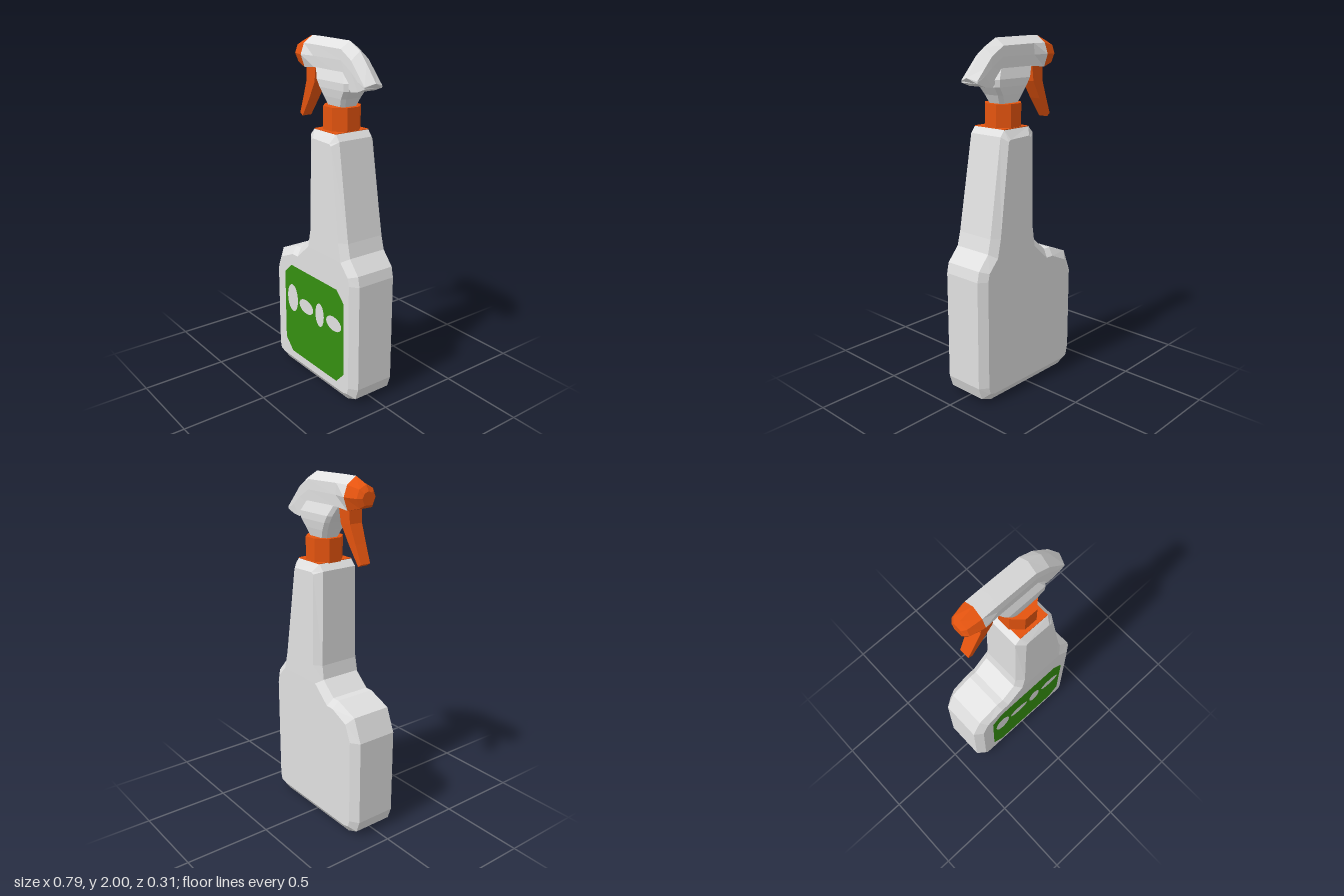
import * as THREE from 'three';

const mat = (name, color) => Object.assign(new THREE.MeshStandardMaterial({ color, flatShading: true }), { name });

// Skin rings of [x, y, z] points (counter-clockwise seen from the + axis) and cap both ends
function loft(rings, axis) {
  const pos = [], n = rings[0].length;
  const tri = (...p) => p.forEach(v => pos.push(...v));
  for (let i = 0; i < rings.length - 1; i++) {
    for (let j = 0; j < n; j++) {
      const k = (j + 1) % n, a = rings[i], b = rings[i + 1];
      tri(a[j], a[k], b[k]);
      tri(a[j], b[k], b[j]);
    }
  }
  const u = (axis + 1) % 3, v = (axis + 2) % 3;
  [rings[0], rings[rings.length - 1]].forEach((ring, end) => {
    const flat = ring.map(p => new THREE.Vector2(p[u], p[v]));
    for (const [a, b, c] of THREE.ShapeUtils.triangulateShape(flat, [])) {
      if (end) tri(ring[a], ring[b], ring[c]);
      else tri(ring[a], ring[c], ring[b]);
    }
  });
  const g = new THREE.BufferGeometry();
  g.setAttribute('position', new THREE.Float32BufferAttribute(pos, 3));
  g.computeVertexNormals();
  return g;
}

export function createModel() {
  const model = new THREE.Group();
  model.name = 'sprayBottle';
  const white = mat('white plastic', 0xe0e0e0);
  const orange = mat('orange plastic', 0xe5540f);
  const green = mat('green label', 0x358f10);
  const add = (name, geometry, material, x = 0, y = 0, z = 0) => {
    const m = new THREE.Mesh(geometry, material);
    m.name = name;
    m.position.set(x, y, z);
    model.add(m);
    return m;
  };

  // Bottle: outer silhouette x, y paired with the bevelled face outline x, y
  const outline = [
    [-0.30, 0, -0.30, 0.05], [0.30, 0, 0.30, 0.05], [0.37, 0.03, 0.335, 0.06], [0.393, 0.1, 0.345, 0.1],
    [0.393, 0.73, 0.345, 0.73], [0.38, 0.79, 0.335, 0.775], [0.31, 0.87, 0.27, 0.845], [0.29, 0.95, 0.245, 0.95],
    [0.20, 1.49, 0.17, 1.465], [0.172, 1.525, 0.155, 1.475], [-0.02, 1.525, 0.01, 1.48], [-0.053, 1.49, -0.005, 1.47],
    [-0.053, 0.95, -0.01, 0.95], [-0.065, 0.87, -0.03, 0.845], [-0.155, 0.79, -0.14, 0.747], [-0.2, 0.79, -0.19, 0.747],
    [-0.34, 0.735, -0.305, 0.695], [-0.395, 0.6, -0.345, 0.6], [-0.395, 0.1, -0.345, 0.1], [-0.37, 0.03, -0.335, 0.06],
  ];
  const bottleRing = (inner, z) => outline.map(p => {
    const x = p[inner ? 2 : 0], y = p[inner ? 3 : 1];
    const taper = 1 - 0.08 * Math.max(0, (y - 0.85) / 0.65); // neck gets slightly thinner
    return [x, y, z * taper - 0.004];
  });
  add('bottle', loft([bottleRing(true, -0.154), bottleRing(false, -0.119),
    bottleRing(false, 0.119), bottleRing(true, 0.154)], 2), white);

  // Label with cut-out ovals
  const label = new THREE.Shape([[-0.27, 0.17], [-0.2, 0.1], [0.24, 0.1], [0.305, 0.17],
    [0.305, 0.61], [0.24, 0.675], [-0.2, 0.675], [-0.27, 0.61]].map(p => new THREE.Vector2(...p)));
  for (const [x, y, rx, ry] of [[-0.192, 0.463, 0.053, 0.088], [-0.053, 0.455, 0.07, 0.044],
    [0.08, 0.455, 0.041, 0.074], [0.213, 0.455, 0.07, 0.044]]) {
    label.holes.push(new THREE.Path().absellipse(x, y, rx, ry, 0, Math.PI * 2, true));
  }
  add('label', new THREE.ShapeGeometry(label, 10), green, 0, 0, 0.153);

  // Neck plate and octagonal collar
  add('neckPlate', new THREE.BoxGeometry(0.192, 0.006, 0.22), orange, 0.076, 1.525, -0.004);
  const collar = new THREE.CylinderGeometry(0.105, 0.105, 0.133, 8);
  collar.rotateY(Math.PI / 8);
  add('collar', collar, orange, 0.072, 1.588, -0.011);

  // Spray head: ridge, shoulder, side and underside at each station along x
  const section = ([x, top, ys, zs, ym, zm, yl, zl, xr = x]) => [
    [xr, top, 0], [x, ys, zs], [x, ym, zm], [x, yl, zl], [x, yl, -zl], [x, ym, -zm], [x, ys, -zs]];
  const joint = [-0.2, 2.0, 1.96, 0.058, 1.9, 0.08, 1.83, 0.055];
  const nozzle = [
    [-0.3, 1.935, 1.925, 0.025, 1.9, 0.04, 1.865, 0.025],
    [-0.28, 1.967, 1.945, 0.045, 1.9, 0.062, 1.85, 0.04],
    joint];
  const head = [
    joint,
    [-0.11, 2.0, 1.96, 0.058, 1.9, 0.061, 1.84, 0.058],
    [0.13, 1.995, 1.955, 0.058, 1.9, 0.06, 1.82, 0.058],
    [0.215, 1.95, 1.905, 0.058, 1.85, 0.06, 1.745, 0.058],
    [0.27, 1.89, 1.845, 0.058, 1.805, 0.06, 1.752, 0.058],
    [0.325, 1.8, 1.785, 0.058, 1.78, 0.059, 1.772, 0.058, 0.345]];
  add('nozzle', loft(nozzle.map(section), 0), orange, 0, 0, -0.014);
  add('sprayHead', loft(head.map(section), 0), white, 0, 0, -0.014);

  // Pump stem: chamfered rectangles at each height
  const stem = [
    [1.65, 0.0, 0.14, 0.055], [1.7, -0.025, 0.165, 0.068], [1.745, -0.052, 0.198, 0.076],
    [1.785, -0.077, 0.2, 0.077], [1.845, -0.11, 0.165, 0.057],
  ].map(([y, x0, x1, z, c = 0.02]) => [
    [x0 + c, y, z], [x1 - c, y, z], [x1, y, z - c], [x1, y, c - z],
    [x1 - c, y, -z], [x0 + c, y, -z], [x0, y, c - z], [x0, y, z - c]]);
  add('pumpStem', loft(stem, 1), white, 0, 0, -0.014);

  // Trigger: curved lever narrowing to the tip
  const trigger = [
    [-0.285, 1.562, -0.26, 1.547, 0.03], [-0.243, 1.66, -0.187, 1.655, 0.035],
    [-0.203, 1.76, -0.128, 1.755, 0.04], [-0.198, 1.85, -0.113, 1.85, 0.043],
  ].map(([x0, y0, x1, y1, z]) => [[x0, y0, z], [x1, y1, z], [x1, y1, -z], [x0, y0, -z]]);
  add('trigger', loft(trigger, 1), orange, 0, 0, -0.014);

  return model;
}
